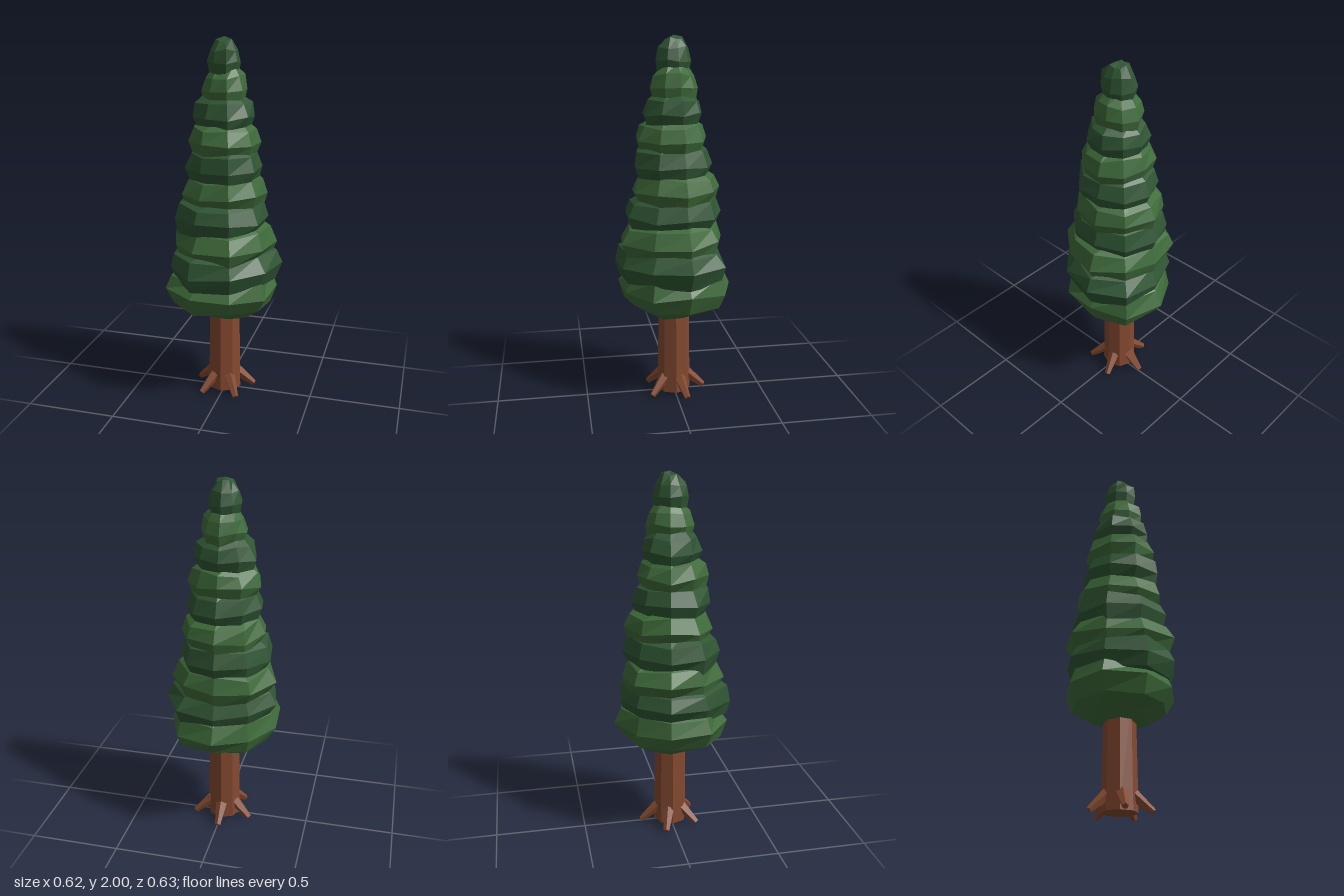
import * as THREE from 'three';

const RINGS = 6;

function seeded(seed) {
  let s = seed;
  return () => {
    s = (s * 16807) % 2147483647;
    return s / 2147483647;
  };
}

const flat = (color) => new THREE.MeshStandardMaterial({ color, flatShading: true });

// Foliage layer radii, bottom to top; nine columns turning from the back over the left to the front
const LAYERS = [
  [0.32, 0.32, 0.29, 0.305, 0.3, 0.32, 0.335, 0.305, 0.29],
  [0.28, 0.33, 0.32, 0.31, 0.316, 0.34, 0.31, 0.315, 0.29],
  [0.27, 0.28, 0.295, 0.28, 0.315, 0.3, 0.28, 0.31, 0.3],
  [0.265, 0.25, 0.24, 0.25, 0.28, 0.27, 0.28, 0.27, 0.26],
  [0.25, 0.25, 0.235, 0.23, 0.24, 0.23, 0.24, 0.24, 0.24],
  [0.215, 0.21, 0.205, 0.22, 0.235, 0.22, 0.22, 0.21, 0.21],
  [0.18, 0.18, 0.195, 0.2, 0.21, 0.21, 0.2, 0.205, 0.19],
  [0.155, 0.16, 0.16, 0.17, 0.175, 0.17, 0.175, 0.175, 0.16],
  [0.13, 0.125, 0.12, 0.13, 0.135, 0.13, 0.125, 0.12, 0.125],
  [0.092, 0.088, 0.083, 0.09, 0.1, 0.1, 0.095, 0.09, 0.09],
];

// Squashed sphere with ragged rings, uneven in radius and height
function foliageLayer(radii, halfHeight, random) {
  const columns = radii.length;
  const positions = [];
  const index = [];
  for (let j = 0; j <= RINGS; j++) {
    const phi = (j / RINGS) * Math.PI;
    const pole = j === 0 || j === RINGS;
    const jitter = j === RINGS / 2 ? 0.04 : 0.16;
    radii.forEach((r, i) => {
      const d = pole ? 0 : r * Math.sin(phi) * (1 + (random() - 0.5) * jitter);
      const dy = pole ? 0 : (random() - 0.5) * halfHeight * 0.16;
      const a = (i / columns) * Math.PI * 2;
      positions.push(Math.sin(a) * d, -Math.cos(phi) * halfHeight + dy, -Math.cos(a) * d);
    });
  }
  for (let j = 0; j < RINGS; j++) {
    for (let i = 0; i < columns; i++) {
      const a = j * columns + i;
      const b = j * columns + ((i + 1) % columns);
      const c = a + columns;
      const d = b + columns;
      if (j > 0) index.push(a, c, b);
      if (j < RINGS - 1) index.push(b, c, d);
    }
  }
  const geometry = new THREE.BufferGeometry();
  geometry.setAttribute('position', new THREE.Float32BufferAttribute(positions, 3));
  geometry.setIndex(index);
  geometry.computeVertexNormals();
  return geometry;
}

export function createModel() {
  const tree = new THREE.Group();
  tree.name = 'tree';
  const random = seeded(4711);
  const bark = flat(0x854a30);
  const greens = [flat(0x3e6a3a), flat(0x2f5533)];

  // Trunk
  const trunk = new THREE.Mesh(new THREE.CylinderGeometry(0.085, 0.094, 0.58, 8), bark);
  trunk.name = 'trunk';
  trunk.position.set(-0.005, 0.305, 0);
  tree.add(trunk);

  // Five roots splaying out of the trunk's foot, one pointing straight back
  const roots = new THREE.Group();
  roots.name = 'roots';
  roots.position.x = -0.005;
  const up = new THREE.Vector3(0, 1, 0);
  for (let k = 0; k < 5; k++) {
    const a = (k / 5) * Math.PI * 2;
    const start = new THREE.Vector3(Math.sin(a) * 0.07, 0.1, -Math.cos(a) * 0.07);
    const end = new THREE.Vector3(Math.sin(a) * 0.17, 0.014, -Math.cos(a) * 0.17);
    const along = end.clone().sub(start);
    const root = new THREE.Mesh(new THREE.CylinderGeometry(0.017, 0.034, along.length(), 5), bark);
    root.name = 'root';
    root.position.copy(start).add(end).multiplyScalar(0.5);
    root.quaternion.setFromUnitVectors(up, along.normalize());
    roots.add(root);
  }
  tree.add(roots);

  // Overlapping foliage layers in two alternating greens
  const foliage = new THREE.Group();
  foliage.name = 'foliage';
  foliage.position.x = -0.005;
  LAYERS.forEach((radii, n) => {
    const t = n / (LAYERS.length - 1);
    const halfHeight = THREE.MathUtils.lerp(0.17, 0.13, t);
    const layer = new THREE.Mesh(foliageLayer(radii, halfHeight, random), greens[n % 2]);
    layer.name = 'foliageLayer';
    layer.position.y = THREE.MathUtils.lerp(0.637, 1.87, t);
    foliage.add(layer);
  });
  tree.add(foliage);

  return tree;
}
